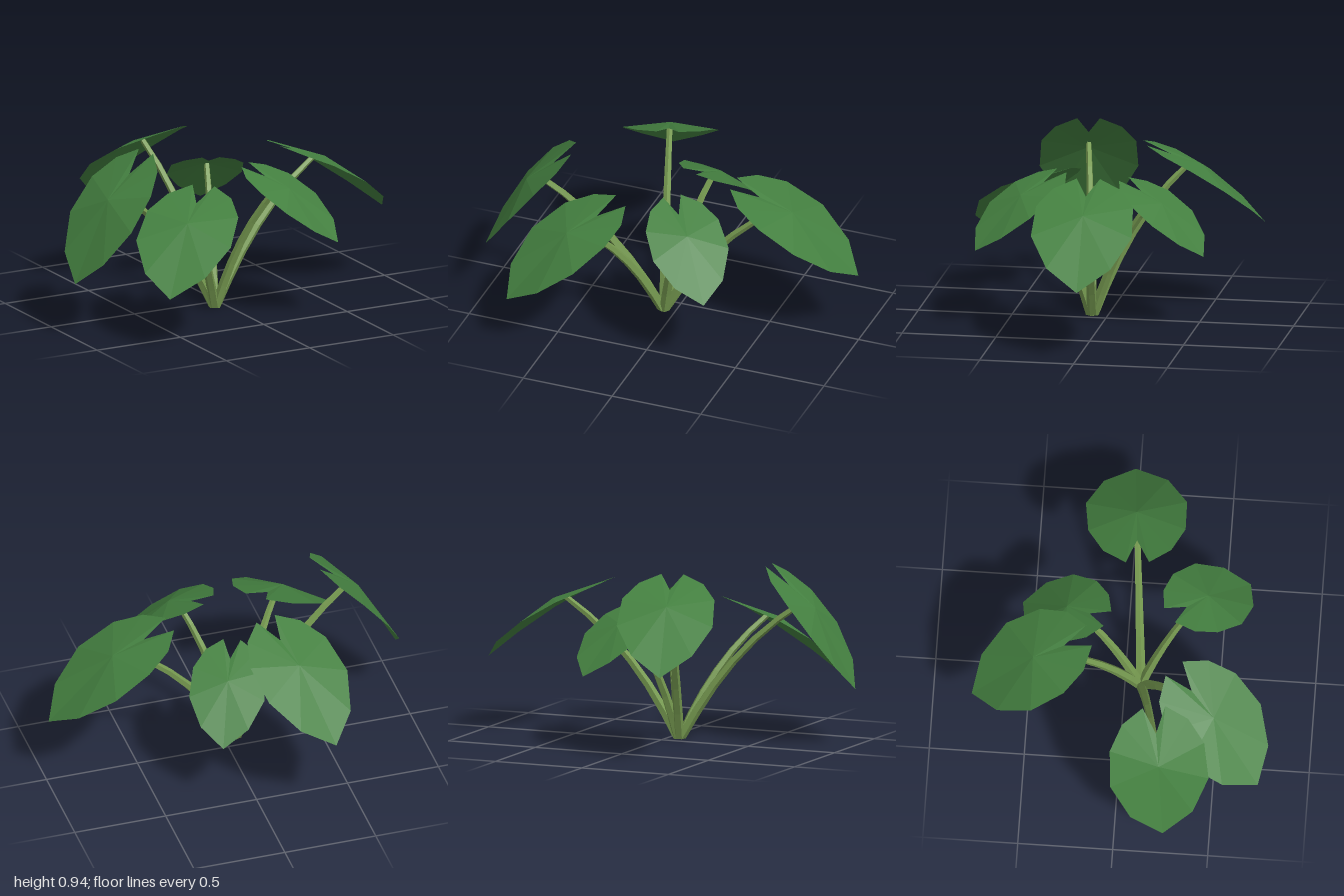
import * as THREE from 'three';

const V = (x, y, z) => new THREE.Vector3(x, y, z);

// Half outline of a leaf: u runs from the stalk lobes to the tip, v is sideways,
// n lifts the rim so that the blade arches lengthwise
const HALF = [
  [0.35, 0.165, 0.03], [0.14, 0.26, 0.045], [-0.08, 0.25, 0.035],
  [-0.225, 0.175, 0.012], [-0.31, 0.06, 0],
];
const NOTCH = [-0.16, 0, 0.028];
const OUTLINE = [
  [0.49, 0, 0], ...HALF, NOTCH, ...HALF.map(([u, v, n]) => [u, -v, n]).reverse(),
];
const HUB = [0.02, 0, 0.075];
const LENGTH = 0.8;
const LOBE = 0.31;

// Each leaf: midpoint between its two lobes, and its drooping tip
const LEAVES = [
  { name: 'leftLeaf', lobes: V(0.31, 0.83, 0.04), tip: V(0.993, 0.383, -0.015) },
  { name: 'backRightLeaf', lobes: V(-0.148, 0.92, -0.183), tip: V(-0.35, 0.47, -0.787) },
  { name: 'backLeftLeaf', lobes: V(0.01, 0.76, -0.097), tip: V(0.2, 0.405, -0.555) },
  { name: 'rightLeaf', lobes: V(-0.533, 0.942, 0.185), tip: V(-1.0, 0.3, 0.262) },
  { name: 'frontRightLeaf', lobes: V(-0.235, 0.735, 0.27), tip: V(-0.695, 0.295, 0.742) },
  { name: 'frontLeftLeaf', lobes: V(0.037, 0.8, 0.228), tip: V(0.373, 0.43, 0.633) },
];

// Facets fanned around a raised hub; also returns where the stalk meets the underside
function buildLeaf(lobes, tip) {
  const along = tip.clone().sub(lobes);
  const scale = along.length() / LENGTH;
  along.normalize();
  const side = V(0, 1, 0).cross(along).normalize();
  const normal = along.clone().cross(side).normalize();
  const foot = lobes.clone().addScaledVector(along, LOBE * scale);
  const place = ([u, v, n]) => foot.clone()
    .addScaledVector(along, u * scale)
    .addScaledVector(side, v * scale)
    .addScaledVector(normal, n * scale);

  const hub = place(HUB);
  const rim = OUTLINE.map(place);
  const points = rim.flatMap((p, i) => [hub, p, rim[(i + 1) % rim.length]]);
  const geometry = new THREE.BufferGeometry().setFromPoints(points);
  geometry.computeVertexNormals();
  const joint = hub.lerp(place(NOTCH), 0.35).addScaledVector(normal, -0.012);
  return { geometry, joint };
}

// Five-sided stalk, arching outward and tapering to the joint
function stalkGeometry(joint) {
  const out = V(joint.x + 0.065, 0, joint.z - 0.083);
  const root = V(-0.065, 0, 0.083).addScaledVector(out.clone().normalize(), 0.009);
  const bend = V(root.x + out.x * 0.37, joint.y * 0.65, root.z + out.z * 0.37);
  const curve = new THREE.QuadraticBezierCurve3(root, bend, joint);
  const rings = 6, sides = 5;
  const geometry = new THREE.TubeGeometry(curve, rings, 0.028, sides);
  const pos = geometry.attributes.position;
  const p = V(0, 0, 0);
  for (let i = 0; i < pos.count; i++) {
    const t = Math.floor(i / (sides + 1)) / rings;
    const centre = curve.getPointAt(t);
    p.fromBufferAttribute(pos, i).sub(centre).multiplyScalar(1 - 0.45 * t).add(centre);
    pos.setXYZ(i, p.x, Math.max(0, p.y), p.z);
  }
  const flat = geometry.toNonIndexed();
  flat.computeVertexNormals();
  return flat;
}

export function createModel() {
  const leafGreen = new THREE.MeshStandardMaterial({
    name: 'leafGreen', color: 0x448040, flatShading: true, side: THREE.DoubleSide,
  });
  const stalkGreen = new THREE.MeshStandardMaterial({
    name: 'stalkGreen', color: 0x769a50, flatShading: true, side: THREE.DoubleSide,
  });

  const plant = new THREE.Group();
  plant.name = 'plant';
  for (const { name, lobes, tip } of LEAVES) {
    const { geometry, joint } = buildLeaf(lobes, tip);
    const leaf = new THREE.Mesh(geometry, leafGreen);
    leaf.name = name;
    const stalk = new THREE.Mesh(stalkGeometry(joint), stalkGreen);
    stalk.name = name.replace('Leaf', 'Stalk');
    plant.add(leaf, stalk);
  }
  return plant;
}
